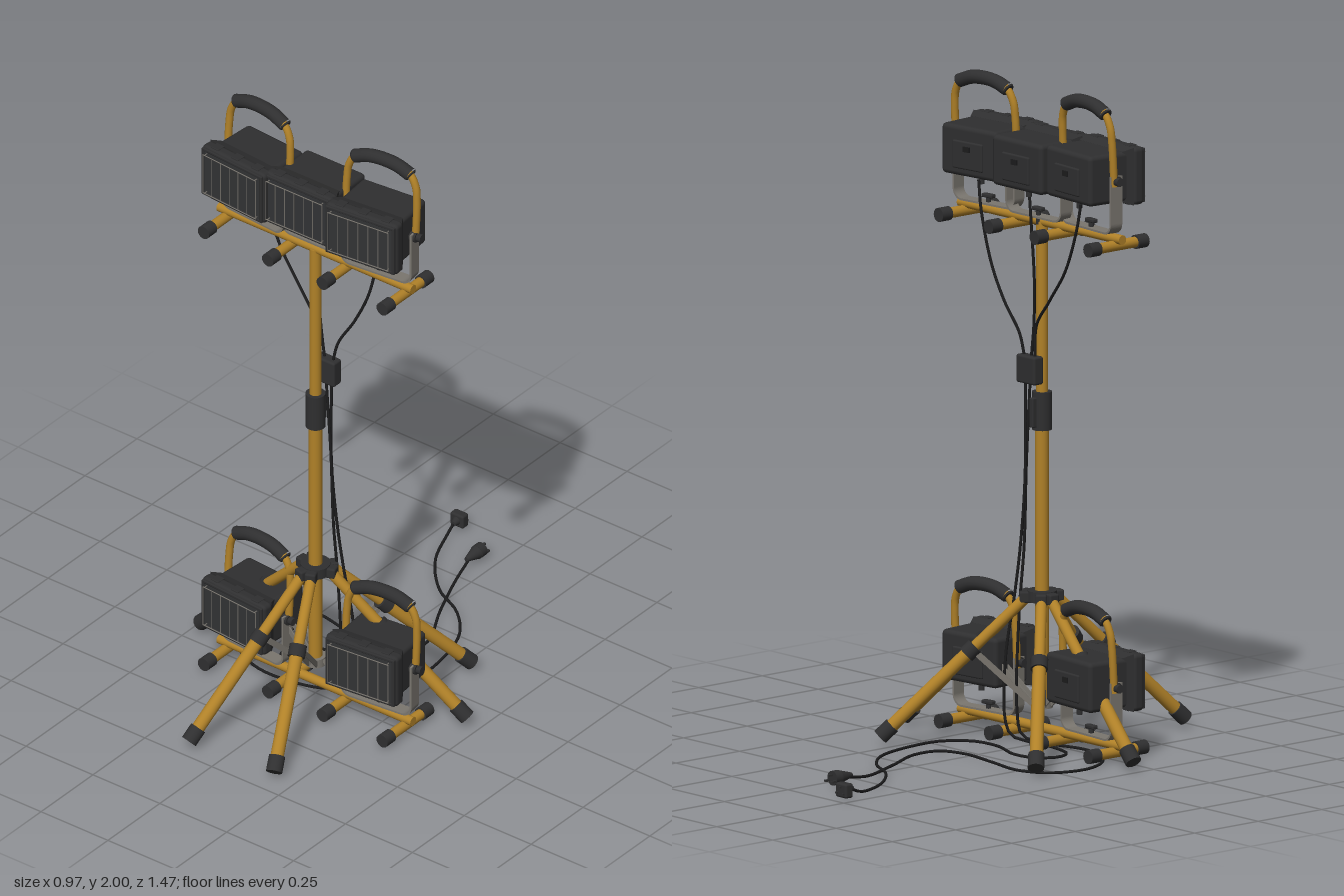
import * as THREE from 'three';
import { RoundedBoxGeometry } from 'three/addons/geometries/RoundedBoxGeometry.js';

const mat = (name, color) => {
  const m = new THREE.MeshStandardMaterial({ color });
  m.name = name;
  return m;
};
const V = (p) => new THREE.Vector3(...p);

export function createModel() {
  const yellow = mat('yellow paint', 0xb08128);
  const black = mat('black plastic', 0x2f2f30);
  const rubber = mat('rubber cable', 0x1c1c1d);
  const glass = mat('lamp glass', 0x323335);
  const steel = mat('steel', 0x7a766f);

  const model = new THREE.Group();
  model.name = 'floodlightTower';

  // Helpers
  const add = (parent, name, geo, m, pos = [0, 0, 0]) => {
    const mesh = new THREE.Mesh(geo, m);
    mesh.name = name;
    mesh.position.set(...pos);
    parent.add(mesh);
    return mesh;
  };
  const box = (parent, name, size, pos, m, r = 0) => add(parent, name,
    r ? new RoundedBoxGeometry(...size, 2, r) : new THREE.BoxGeometry(...size), m, pos);
  const rod = (parent, name, a, b, r, m, r2 = r, sides = 20) => {
    const p = V(a), q = V(b), d = q.clone().sub(p);
    const mesh = add(parent, name, new THREE.CylinderGeometry(r2, r, d.length(), sides), m);
    mesh.position.copy(p).add(q).multiplyScalar(0.5);
    mesh.quaternion.setFromUnitVectors(new THREE.Vector3(0, 1, 0), d.normalize());
    return mesh;
  };
  const tube = (parent, name, pts, r, m, n = 60, sides = 8) => add(parent, name,
    new THREE.TubeGeometry(new THREE.CatmullRomCurve3(pts.map(V), false, 'centripetal'), n, r, sides), m);

  // Thin U-shaped mounting bracket, extruded along z
  const bracketGeometry = () => {
    const w = 0.125, b = -0.168, r = 0.035, t = 0.006;
    const s = new THREE.Shape();
    s.moveTo(-w, 0.01);
    s.lineTo(-w, b + r);
    s.absarc(-w + r, b + r, r, Math.PI, Math.PI * 1.5, false);
    s.absarc(w - r, b + r, r, Math.PI * 1.5, Math.PI * 2, false);
    s.lineTo(w, 0.01);
    s.lineTo(w - t, 0.01);
    s.absarc(w - r, b + r, r - t, 0, -Math.PI / 2, true);
    s.absarc(-w + r, b + r, r - t, -Math.PI / 2, -Math.PI, true);
    s.lineTo(-w + t, 0.01);
    const g = new THREE.ExtrudeGeometry(s, { depth: 0.042, bevelEnabled: false });
    return g.translate(0, 0, -0.013);
  };

  // One floodlight, origin on its pivot
  const floodlight = (name, pos, yaw, withHandle) => {
    const g = new THREE.Group();
    g.name = name;
    g.position.set(...pos);
    g.rotation.y = yaw;
    model.add(g);
    box(g, 'housing', [0.222, 0.152, 0.15], [0, 0, -0.005], black, 0.014);
    // Flared neck between housing and bezel
    const neck = new THREE.CylinderGeometry(0.172, 0.15, 0.03, 4).rotateY(Math.PI / 4)
      .rotateX(Math.PI / 2).toNonIndexed();
    neck.computeVertexNormals();
    add(g, 'neck', neck, black, [0, 0, 0.06]).scale.set(1.0, 0.72, 1);
    box(g, 'bezel', [0.252, 0.175, 0.042], [0, 0, 0.092], black, 0.014);
    box(g, 'glass', [0.222, 0.146, 0.004], [0, 0, 0.113], glass);
    for (const s of [-1, 1]) {
      box(g, 'bezelRail', [0.24, 0.01, 0.01], [0, s * 0.077, 0.113], black, 0.003);
      box(g, 'bezelPost', [0.01, 0.156, 0.01], [s * 0.115, 0, 0.113], black, 0.003);
      for (const x of [-0.08, 0, 0.08]) box(g, 'clip', [0.03, 0.006, 0.03], [x, s * 0.087, 0.09], black, 0.002);
      rod(g, 'pivotBolt', [s * 0.105, -0.005, 0.008], [s * 0.132, -0.005, 0.008], 0.016, black);
      // Wire guard frame
      rod(g, 'guardBar', [-0.106, s * 0.067, 0.127], [0.106, s * 0.067, 0.127], 0.0016, steel, 0.0016, 6);
      for (const x of [-0.1, 0.1])
        rod(g, 'guardStandoff', [x, s * 0.067, 0.11], [x, s * 0.067, 0.128], 0.0016, steel, 0.0016, 6);
    }
    for (let i = 0; i < 7; i++) {
      const x = -0.105 + i * 0.035;
      rod(g, 'guardUpright', [x, -0.068, 0.127], [x, 0.068, 0.127], 0.0012, steel, 0.0012, 6);
    }
    // Rear cover and switch
    box(g, 'rearCover', [0.12, 0.085, 0.014], [0, -0.01, -0.079], black, 0.005);
    box(g, 'switch', [0.024, 0.016, 0.008], [0, 0.01, -0.087], rubber);
    rod(g, 'cableGland', [-0.04, -0.06, -0.065], [-0.04, -0.09, -0.065], 0.009, black);
    add(g, 'bracket', bracketGeometry(), steel);
    // Clamp knob on the bracket
    rod(g, 'knobStem', [0, -0.19, 0.008], [0, -0.145, 0.008], 0.008, black);
    box(g, 'knobWing', [0.042, 0.012, 0.02], [0, -0.143, 0.008], black, 0.004);
    if (withHandle) {
      // Carrying handle, leaning slightly back
      const h = new THREE.Group();
      h.name = 'carryHandle';
      h.rotation.x = -0.06;
      g.add(h);
      const side = [[0.122, -0.02, 0], [0.122, 0.11, 0], [0.116, 0.16, 0], [0.092, 0.197, 0]];
      const mirror = side.map(([x, y, z]) => [-x, y, z]).reverse();
      tube(h, 'handle', [...side, [0, 0.217, 0], ...mirror], 0.0115, yellow, 64, 14);
      const arc = [[0.096, 0.195, 0], [0.05, 0.212, 0], [0, 0.217, 0], [-0.05, 0.212, 0], [-0.096, 0.195, 0]];
      tube(h, 'grip', arc, 0.021, black, 24, 14);
      for (const s of [-1, 1]) {
        rod(h, 'gripEnd', [s * 0.096, 0.195, 0], [s * 0.1, 0.1925, 0], 0.021, black, 0.018);
        rod(g, 'sideKnob', [s * 0.13, -0.005, 0.005], [s * 0.147, -0.005, 0.005], 0.013, black, 0.013, 8);
      }
    }
  };

  // Carrier: crossbar, four feet and a pair of floodlights
  const Z = 0.25;
  const carrier = (y, label) => {
    rod(model, label + 'Crossbar', [-0.36, y, Z], [0.365, y, Z], 0.0145, yellow);
    for (const x of [-0.33, -0.09, 0.114, 0.338]) {
      const fy = y - 0.021;
      rod(model, label + 'Foot', [x, fy, 0.16], [x, fy, 0.345], 0.016, yellow);
      rod(model, label + 'FootCap', [x, fy, 0.14], [x, fy, 0.18], 0.021, black);
      rod(model, label + 'FootCap', [x, fy, 0.325], [x, fy, 0.365], 0.021, black);
    }
    floodlight(label + 'RightFloodlight', [-0.222, y + 0.182, 0.24], -0.08, true);
    floodlight(label + 'LeftFloodlight', [0.236, y + 0.182, 0.24], 0.1, true);
  };
  carrier(1.579, 'upper');
  carrier(0.049, 'lower');
  floodlight('middleFloodlight', [0.002, 1.761, 0.23], 0, false);

  // Mast
  rod(model, 'lowerMast', [0, 0.12, Z], [0, 1.0, Z], 0.0205, yellow);
  rod(model, 'upperMast', [0, 1.0, Z], [0, 1.579, Z], 0.018, yellow);
  rod(model, 'mastClamp', [0, 0.95, Z], [0, 1.065, Z], 0.03, black);
  box(model, 'clampLever', [0.018, 0.09, 0.02], [0, 1.005, Z - 0.034], black, 0.004);
  box(model, 'junctionBox', [0.084, 0.085, 0.038], [0.012, 1.135, 0.212], black, 0.007);

  // Six splayed legs with braces
  rod(model, 'legHub', [0, 0.432, Z], [0, 0.465, Z], 0.045, black);
  rod(model, 'braceHub', [0, 0.11, Z], [0, 0.138, Z], 0.032, steel);
  for (const deg of [103.5, 223.5, 343, 67, 187, 307]) {
    const leg = new THREE.Group();
    leg.name = 'leg';
    leg.position.z = Z;
    leg.rotation.y = -deg * Math.PI / 180;
    model.add(leg);
    const at = (t) => [0.045 + 0.443 * t, 0.445 - 0.425 * t, 0];
    box(leg, 'hinge', [0.035, 0.035, 0.034], [0.05, 0.445, 0], black, 0.006);
    rod(leg, 'upperLeg', at(0), at(0.4), 0.0165, yellow);
    rod(leg, 'lowerLeg', at(0.38), at(0.97), 0.02, yellow);
    rod(leg, 'legCollar', at(0.345), at(0.405), 0.026, black);
    rod(leg, 'legCap', at(0.9), at(0.98), 0.0245, black);
    for (const s of [-1, 1]) {
      const brace = box(leg, 'brace', [0.225, 0.016, 0.004], [0.112, 0.2, s * 0.012], steel);
      brace.rotation.z = Math.atan2(0.15, 0.16);
    }
  }

  // Lamp leads down to the junction box
  const lead = (name, pts) => tube(model, name, pts, 0.0045, rubber, 100, 7);
  lead('rightLampLead', [[-0.267, 1.685, 0.168], [-0.25, 1.6, 0.165], [-0.19, 1.47, 0.175], [-0.1, 1.36, 0.19], [-0.02, 1.27, 0.21], [-0.012, 1.17, 0.212]]);
  lead('middleLampLead', [[-0.04, 1.68, 0.165], [-0.055, 1.58, 0.16], [-0.045, 1.42, 0.18], [-0.015, 1.28, 0.205], [0.005, 1.17, 0.212]]);
  lead('leftLampLead', [[0.19, 1.685, 0.168], [0.17, 1.6, 0.16], [0.145, 1.44, 0.178], [0.1, 1.33, 0.19], [0.05, 1.24, 0.205], [0.035, 1.17, 0.212]]);

  // Supply cables down the mast and across the ground
  const g = 0.01;
  lead('supplyCableA', [[0.03, 1.1, 0.212], [0.025, 0.8, 0.205], [0.045, 0.6, 0.205], [0.065, 0.45, 0.2],
    [0.095, 0.25, 0.19], [0.095, 0.06, 0.19], [0.08, 0.02, 0.2], [0.03, g, 0.21], [-0.1, g, 0.21], [-0.19, g, 0.18],
    [-0.205, g, 0.12], [-0.16, g, 0.07], [-0.09, g, 0.06], [0.03, g, 0.1], [0.13, g, 0.09], [0.19, g, 0.02],
    [0.195, g, -0.08], [0.155, g, -0.24], [0.07, g, -0.34], [-0.04, g, -0.4], [-0.15, g, -0.52], [-0.2, 0.014, -0.64],
    [-0.208, 0.028, -0.68]]);
  lead('supplyCableB', [[0.01, 1.1, 0.212], [0.03, 0.85, 0.215], [0.04, 0.6, 0.215], [0.045, 0.4, 0.2],
    [0.055, 0.1, 0.2], [0.045, 0.025, 0.21], [0, g, 0.23], [-0.2, g, 0.26], [-0.34, g, 0.19], [-0.39, g, 0.08],
    [-0.36, g, -0.03], [-0.27, g, -0.08], [-0.13, g, -0.062], [0.01, g, -0.045], [0.09, g, -0.075], [0.1, g, -0.16],
    [0.03, g, -0.31], [-0.035, g, -0.47], [-0.06, 0.026, -0.57]]);

  // Plugs
  const plug = (name, pos, block) => {
    const p = new THREE.Group();
    p.name = name;
    p.position.set(...pos);
    model.add(p);
    if (block) {
      box(p, 'plugBody', [0.05, 0.044, 0.03], [0, 0, 0], black, 0.007);
      rod(p, 'plugNeck', [0, 0, 0.01], [0.003, 0, 0.034], 0.015, black, 0.008);
    } else {
      rod(p, 'plugBody', [0, 0, 0], [0, 0, -0.025], 0.022, black);
      rod(p, 'plugNeck', [0, 0, 0], [0, 0, 0.05], 0.021, black, 0.007);
    }
    const z0 = block ? -0.005 : -0.026;
    for (const [x, y] of [[-0.014, -0.008], [0.014, -0.008], [0, 0.01]])
      box(p, 'pin', [0.008, 0.006, 0.03], [x, y, z0], black);
  };
  plug('plugA', [-0.21, 0.031, -0.713], true);
  plug('plugB', [-0.06, 0.03, -0.603], false);

  return model;
}
